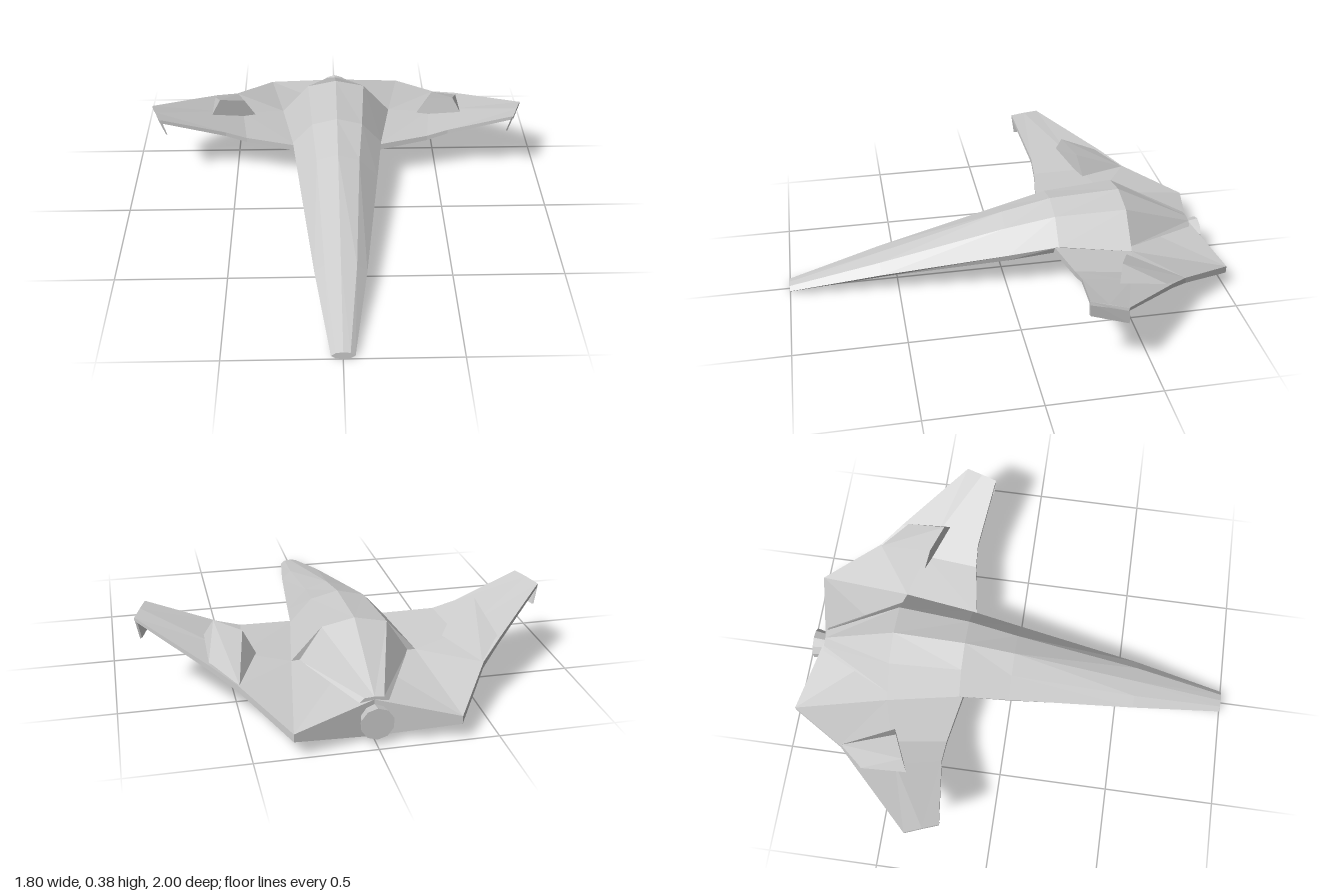
import * as THREE from 'three';
import { ConvexGeometry } from 'three/addons/geometries/ConvexGeometry.js';

const material = new THREE.MeshStandardMaterial({ color: 0xcccccc, flatShading: true });

// Skin a row of cross-sections; closed joins the last point of each to its first.
function loft(rows, { closed = false, capStart = false, capEnd = false } = {}) {
  const pos = [];
  const tri = (a, b, c) => pos.push(...a, ...b, ...c);
  const n = rows[0].length;
  for (let i = 0; i < rows.length - 1; i++) {
    for (let j = 0; j < (closed ? n : n - 1); j++) {
      const k = (j + 1) % n;
      tri(rows[i][j], rows[i + 1][j], rows[i + 1][k]);
      tri(rows[i][j], rows[i + 1][k], rows[i][k]);
    }
  }
  const first = rows[0], last = rows[rows.length - 1];
  for (let j = 1; j < n - 1; j++) {
    if (capStart) tri(first[0], first[j], first[j + 1]);
    if (capEnd) tri(last[0], last[j + 1], last[j]);
  }
  const geo = new THREE.BufferGeometry();
  geo.setAttribute('position', new THREE.Float32BufferAttribute(pos, 3));
  geo.computeVertexNormals();
  return geo;
}

// Mirror across x = 0 and swap corners so faces still point outwards.
function mirrored(geo) {
  const p = geo.getAttribute('position');
  const pos = [];
  for (let i = 0; i < p.count; i += 3) {
    for (const k of [i, i + 2, i + 1]) pos.push(-p.getX(k), p.getY(k), p.getZ(k));
  }
  const out = new THREE.BufferGeometry();
  out.setAttribute('position', new THREE.Float32BufferAttribute(pos, 3));
  out.computeVertexNormals();
  return out;
}

function addPair(group, name, geo) {
  const part = new THREE.Group();
  part.name = name;
  [['Left', geo], ['Right', mirrored(geo)]].forEach(([side, g]) => {
    const mesh = new THREE.Mesh(g, material);
    mesh.name = name + side;
    part.add(mesh);
  });
  group.add(part);
}

const convex = (points) => new ConvexGeometry(points.map((p) => new THREE.Vector3(...p)));
const section = (z, points) => points.map(([x, y]) => [x, y, z]);

export function createModel() {
  const model = new THREE.Group();
  model.name = 'spacecraft';

  // Half cross-sections of the body, from keel round to spine
  const noseTip = section(1, [[0, 0], [0.03, 0.003], [0.05, 0.018], [0.03, 0.034], [0, 0.038]]);
  const noseBase = section(0.58, [[0, 0.058], [0.105, 0.085], [0.115, 0.1], [0.07, 0.14], [0, 0.152]]);
  const neck = section(0, [[0, 0.127], [0.18, 0.157], [0.187, 0.187], [0.1, 0.28], [0, 0.31]]);
  const shoulder = section(-0.23, [[0, 0.15], [0.2, 0.19], [0.215, 0.225], [0.12, 0.33], [0, 0.36]]);
  const hump = section(-0.56, [[0, 0.15], [0.2, 0.17], [0.27, 0.2], [0.14, 0.345], [0, 0.375]]);
  const tailStart = section(-0.56, [[0, 0.15], [0.18, 0.17], [0.235, 0.2], [0.14, 0.345], [0, 0.375]]);
  const tailEnd = section(-0.91, [[0, 0.1], [0.04, 0.12], [0.06, 0.165], [0.04, 0.185], [0, 0.188]]);

  addPair(model, 'nose', loft([noseTip, noseBase], { capStart: true }));
  addPair(model, 'fuselage', loft([noseBase, neck, shoulder, hump], { capEnd: true }));
  addPair(model, 'tailFairing', loft([tailStart, tailEnd], { capEnd: true }));

  // Wing sections: upper front, middle, rear, then lower rear, middle, front
  addPair(model, 'wing', loft([
    [[0, 0.22, -0.2], [0, 0.22, -0.56], [0, 0.175, -0.91],
      [0, 0.01, -0.91], [0, 0.115, -0.56], [0, 0.15, -0.2]],
    [[0.2, 0.222, -0.21], [0.27, 0.2, -0.56], [0.34, 0.11, -1],
      [0.34, 0.075, -1], [0.27, 0.145, -0.56], [0.2, 0.19, -0.21]],
    [[0.44, 0.243, -0.25], [0.47, 0.227, -0.5], [0.515, 0.2, -0.735],
      [0.515, 0.172, -0.735], [0.47, 0.197, -0.5], [0.44, 0.218, -0.25]],
    [[0.54, 0.273, -0.255], [0.58, 0.265, -0.46], [0.615, 0.25, -0.637],
      [0.615, 0.227, -0.637], [0.58, 0.241, -0.46], [0.54, 0.252, -0.255]],
    [[0.845, 0.378, -0.21], [0.87, 0.375, -0.28], [0.898, 0.367, -0.355],
      [0.898, 0.352, -0.355], [0.87, 0.358, -0.28], [0.845, 0.36, -0.21]],
  ], { closed: true, capEnd: true }));

  // Thin winglets hanging from the wing tips
  const plate = [[0.845, 0.375, -0.21], [0.898, 0.362, -0.358], [0.88, 0.275, -0.368], [0.825, 0.29, -0.22]];
  addPair(model, 'winglet', convex([...plate, ...plate.map(([x, y, z]) => [x - 0.008, y, z + 0.003])]));

  // Wedge-shaped blisters on top of the wings
  addPair(model, 'wingBlister', convex([
    [0.4, 0.205, -0.5], [0.62, 0.275, -0.4], [0.46, 0.32, -0.472], [0.575, 0.355, -0.42],
    [0.51, 0.2, -0.73], [0.62, 0.25, -0.62],
  ]));

  // Flared exhaust nozzle
  const nozzle = new THREE.Mesh(new THREE.CylinderGeometry(0.05, 0.07, 0.1, 10), material);
  nozzle.name = 'exhaustNozzle';
  nozzle.rotation.x = Math.PI / 2;
  nozzle.position.set(0, 0.097, -0.92);
  model.add(nozzle);

  return model;
}
